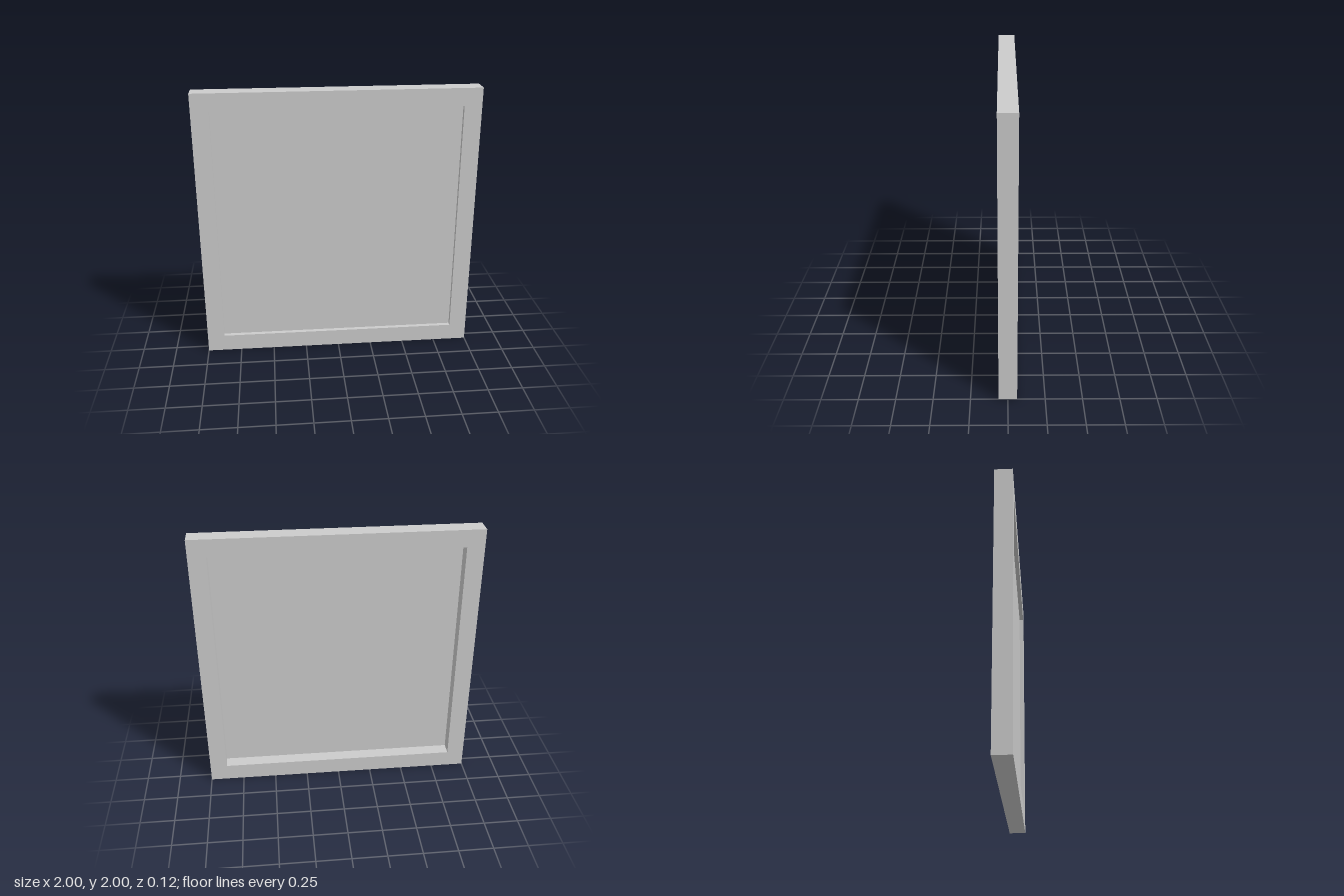
import * as THREE from 'three';

const SIZE = 2, DEPTH = 0.125, BORDER = 0.125;

function square(PathType, half) {
  const p = new PathType();
  p.moveTo(-half, -half);
  p.lineTo(half, -half);
  p.lineTo(half, half);
  p.lineTo(-half, half);
  p.closePath();
  return p;
}

export function createModel() {
  const group = new THREE.Group();
  const half = SIZE / 2, inner = half - BORDER;

  // Square surround with a square opening
  const outline = square(THREE.Shape, half);
  outline.holes.push(square(THREE.Path, inner));
  const frameGeo = new THREE.ExtrudeGeometry(outline, { depth: DEPTH, bevelEnabled: false });
  frameGeo.translate(0, half, -DEPTH / 2);
  const frame = new THREE.Mesh(frameGeo, new THREE.MeshStandardMaterial({ color: 0xcccccc }));
  frame.name = 'frame';

  // Thin pane, set a quarter of the depth behind the front face
  const pane = new THREE.Mesh(
    new THREE.PlaneGeometry(inner * 2, inner * 2),
    new THREE.MeshStandardMaterial({ color: 0xcccccc, side: THREE.DoubleSide })
  );
  pane.position.set(0, half, DEPTH / 4);
  pane.name = 'pane';

  group.add(frame, pane);
  return group;
}
